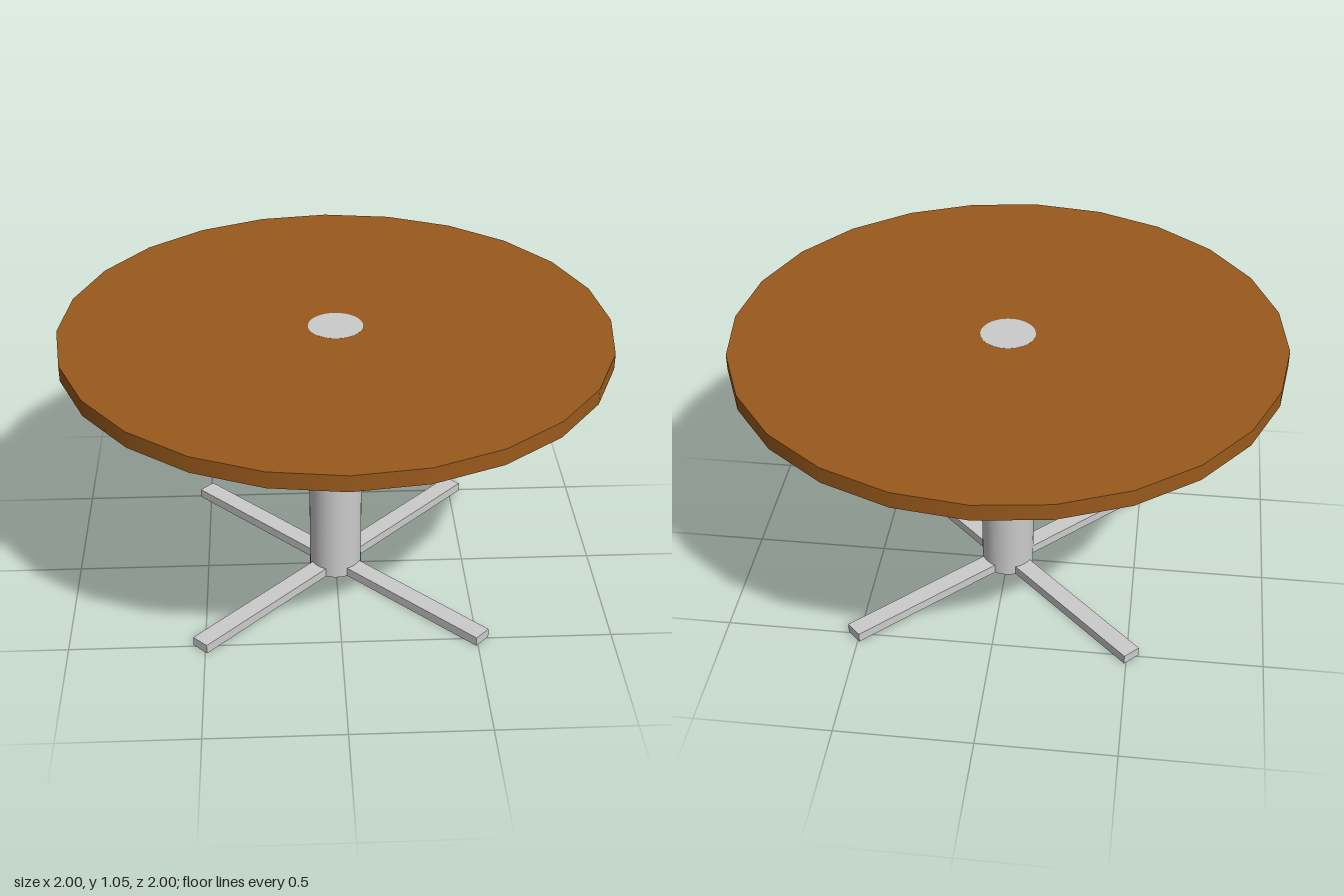
import * as THREE from 'three';

const TOP_Y = 1.05, TOP_THICK = 0.06;
const POST_R = 0.1;
const LEG_LEN = 0.733, LEG_W = 0.071, LEG_H = 0.036;

export function createModel() {
  const grey = new THREE.MeshStandardMaterial({ color: 0xcccccc });
  const wood = new THREE.MeshStandardMaterial({ color: 0x9a5a1c });
  const model = new THREE.Group();
  model.name = 'pedestalTable';

  const add = (name, geometry, material, y) => {
    const mesh = new THREE.Mesh(geometry, material);
    mesh.name = name;
    mesh.position.y = y;
    model.add(mesh);
    return mesh;
  };

  // Round 24-sided table top
  add('tableTop', new THREE.CylinderGeometry(1, 1, TOP_THICK, 24), wood, TOP_Y - TOP_THICK / 2);

  // Central post, its end showing through the top (a hair proud to avoid flicker)
  const postHeight = TOP_Y + 0.0005;
  add('post', new THREE.CylinderGeometry(POST_R, POST_R, postHeight, 48), grey, postHeight / 2);

  // Four flat feet set on the diagonals
  for (let i = 0; i < 4; i++) {
    const geometry = new THREE.BoxGeometry(LEG_LEN, LEG_H, LEG_W).translate(LEG_LEN / 2, 0, 0);
    const foot = add('foot' + (i + 1), geometry, grey, LEG_H / 2);
    foot.rotation.y = Math.PI / 4 + i * Math.PI / 2;
  }

  return model;
}
